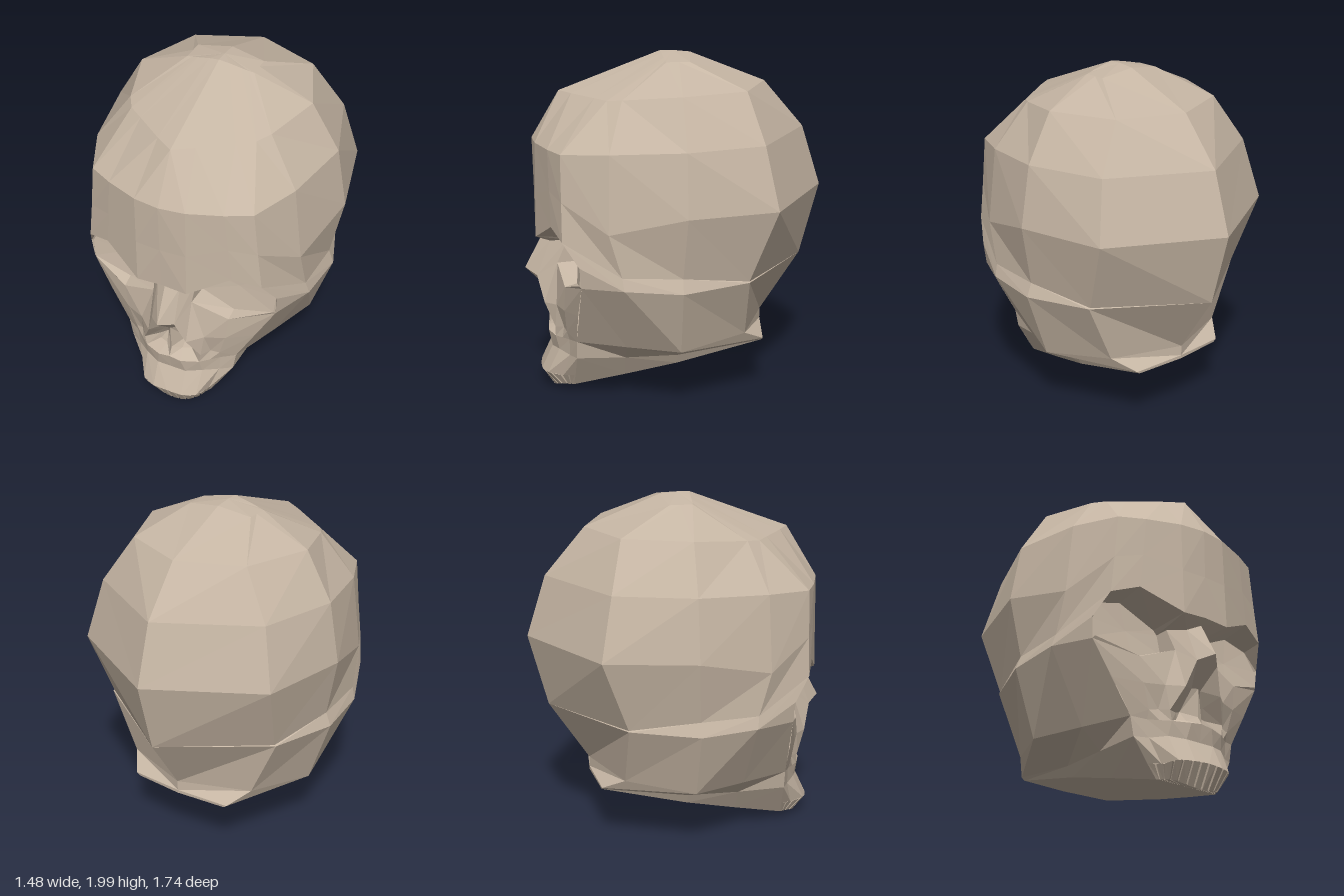
import * as THREE from 'three';

const bone = new THREE.MeshStandardMaterial({ color: 0xc6b6a4, flatShading: true, side: THREE.DoubleSide });
const v = (p) => new THREE.Vector3(...p);

// Skins equal-length rows of [x, y, z] on the +x half and mirrors them to -x.
function loft(name, rows, flip = false) {
  const out = [];
  const tri = (a, b, c) => {
    const area = v(b).sub(v(a)).cross(v(c).sub(v(a))).length();
    if (area < 1e-6) return;
    if (flip) [b, c] = [c, b];
    out.push(...a, ...b, ...c);
    for (const [x, y, z] of [a, c, b]) out.push(-x, y, z);
  };
  for (let r = 0; r + 1 < rows.length; r++) {
    const top = rows[r], low = rows[r + 1];
    for (let i = 0; i + 1 < top.length; i++) {
      tri(top[i], top[i + 1], low[i]);
      tri(top[i + 1], low[i + 1], low[i]);
    }
  }
  const geo = new THREE.BufferGeometry();
  geo.setAttribute('position', new THREE.Float32BufferAttribute(out, 3));
  geo.computeVertexNormals();
  const mesh = new THREE.Mesh(geo, bone);
  mesh.name = name;
  return mesh;
}

const fill = (row, p) => row.map(() => p);

export function createModel() {
  const skull = new THREE.Group();
  skull.name = 'skull';

  // Points shared by neighbouring parts
  const browCentre = [0, 0.97, 0.8], browInner = [0.15, 0.96, 0.8];
  const browPeak = [0.38, 1.08, 0.71], browOuter = [0.53, 1.03, 0.65];
  const eyeOuter = [0.585, 0.9, 0.56], eyeLow = [0.575, 0.78, 0.55];
  const eyeFloor = [0.33, 0.71, 0.64], eyeInner = [0.12, 0.79, 0.68], eyeTop = [0.13, 0.93, 0.62];
  const bridge = [0, 0.94, 0.76], bridgeSide = [0.07, 0.91, 0.72];
  const noseTip = [0, 0.73, 0.87], noseWing = [0.07, 0.7, 0.8];
  const noseMid = [0.12, 0.55, 0.76], noseLow = [0.18, 0.42, 0.7];
  const noseFoot = [0.17, 0.36, 0.7], noseSill = [0.07, 0.36, 0.74], noseBase = [0, 0.37, 0.74];
  const cheekLow = [0.35, 0.385, 0.58], jawSide = [0.33, 0.275, 0.58], jawLow = [0.2, 0.06, 0.6];
  const baseRow = [[0, 0.78, -0.76], [0.56, 0.79, -0.38], [0.67, 0.85, 0], [0.66, 0.86, 0.33]];

  // Cranium: rings from crown to brow, each from back to front
  const crown = [[0, 1.99, -0.1], [0.2, 1.96, -0.08], [0.2, 1.96, -0.02], [0.2, 1.96, 0.05],
    [0.17, 1.965, 0.055], [0.13, 1.975, 0.06], [0.06, 1.99, 0.065], [0, 2, 0.07]];
  skull.add(loft('cranium', [
    fill(crown, [0, 2, 0]),
    crown,
    [[0, 1.82, -0.53], [0.37, 1.82, -0.38], [0.52, 1.82, -0.01], [0.42, 1.79, 0.31],
      [0.37, 1.78, 0.39], [0.28, 1.78, 0.455], [0.11, 1.78, 0.58], [0, 1.78, 0.65]],
    [[0, 1.55, -0.76], [0.54, 1.55, -0.46], [0.68, 1.55, -0.02], [0.6, 1.53, 0.39],
      [0.48, 1.51, 0.65], [0.34, 1.51, 0.72], [0.15, 1.51, 0.79], [0, 1.51, 0.81]],
    [[0, 1.2, -0.87], [0.62, 1.2, -0.53], [0.74, 1.2, -0.02], [0.65, 1.1, 0.4],
      [0.505, 1.25, 0.65], [0.36, 1.28, 0.715], [0.15, 1.22, 0.795], [0, 1.22, 0.805]],
    [...baseRow, browOuter, browPeak, browInner, browCentre],
  ]));

  // Temples, cheek arches, skull base and flat underside
  const under = [[0, 0.35, -0.53], [0.3, 0.345, -0.5], [0.31, 0.22, 0], [0.26, 0.14, 0.3], jawLow];
  const arch = [[0, 0.78, -0.76], [0.57, 0.785, -0.38], [0.7, 0.77, 0], [0.68, 0.79, 0.32]];
  skull.add(loft('skullBase', [
    [...baseRow, browOuter],
    [...arch, eyeOuter],
    [...arch, eyeLow],
    [[0, 0.43, -0.53], [0.41, 0.43, -0.38], [0.57, 0.385, 0], [0.46, 0.385, 0.3], cheekLow],
    [[0, 0.37, -0.53], [0.32, 0.36, -0.5], [0.34, 0.28, 0], [0.34, 0.275, 0.3], jawSide],
    under,
    under.map(([, y, z]) => [0, y, z]),
  ]));

  // Brow underside and nose bridge
  skull.add(loft('browUnderside', [
    [browCentre, [0.08, 0.965, 0.8], browInner],
    [bridge, bridgeSide, eyeTop],
  ], true));
  skull.add(loft('noseBridge', [[bridge, bridgeSide, eyeTop], [noseTip, noseWing, eyeInner]], true));

  // Eye sockets: rim, recessed loop and back plate
  const rim = [eyeTop, browInner, browPeak, browOuter, eyeOuter, eyeLow, eyeFloor, eyeInner, eyeTop];
  const recess = rim.map(([x, y]) => [0.35 + (x - 0.35) * 0.96, 0.89 + (y - 0.89) * 0.88,
    0.56 - 0.12 * (y - 0.8)]);
  skull.add(loft('eyeSockets', [rim, recess, fill(rim, [0.35, 0.89, 0.54])], true));

  // Nasal opening with a central septum
  const opening = [noseTip, noseWing, noseMid, noseLow, noseFoot, noseSill, noseBase, noseBase];
  const cavity = [[0, 0.58, 0.72], [0.03, 0.58, 0.7], [0.07, 0.5, 0.67], [0.1, 0.44, 0.65],
    [0.1, 0.4, 0.65], [0.05, 0.4, 0.67], [0, 0.42, 0.71], [0, 0.58, 0.72]];
  skull.add(loft('nasalOpening', [opening, cavity, fill(cavity, [0.06, 0.46, 0.63])]));

  // Cheekbones
  skull.add(loft('cheekbones', [
    [noseWing, eyeInner, eyeFloor, eyeLow],
    [noseMid, [0.2, 0.56, 0.69], [0.31, 0.56, 0.645], [0.46, 0.58, 0.57]],
    [noseLow, [0.22, 0.43, 0.65], [0.27, 0.42, 0.635], cheekLow],
    [noseFoot, [0.22, 0.365, 0.66], [0.27, 0.37, 0.62], cheekLow],
  ], true));

  // Upper jaw
  const gum = [[0, 0.135, 0.79], [0.09, 0.13, 0.785], [0.17, 0.13, 0.75],
    [0.21, 0.125, 0.66], [0.25, 0.14, 0.59]];
  skull.add(loft('upperJaw', [
    [noseBase, noseSill, noseFoot, [0.27, 0.37, 0.62], cheekLow],
    [[0, 0.27, 0.72], [0.09, 0.27, 0.72], [0.18, 0.28, 0.68], [0.26, 0.27, 0.62], jawSide],
    gum,
  ], true));

  // Teeth: one arch with a shallow groove between neighbours
  const bite = [[0, 0.01, 0.72], [0.08, 0.02, 0.715], [0.15, 0.045, 0.68], [0.18, 0.055, 0.63], jawLow];
  const count = 7;
  const toothRow = (points, lift) => {
    const curve = new THREE.CatmullRomCurve3(points.map(v));
    const row = [];
    for (let k = 0; k < count; k++) {
      for (const f of [0, 0.12, 0.88]) {
        const p = curve.getPoint((k + f) / count);
        const s = f === 0 ? 0.95 : 1;
        row.push([p.x * s, p.y + (f === 0 ? lift : 0), 0.55 + (p.z - 0.55) * s]);
      }
    }
    row.push(points[points.length - 1]);
    return row;
  };
  const biteRow = toothRow(bite, 0.01);
  skull.add(loft('teeth', [toothRow(gum, 0), biteRow, fill(biteRow, [0, 0.06, 0.6])], true));

  return skull;
}
